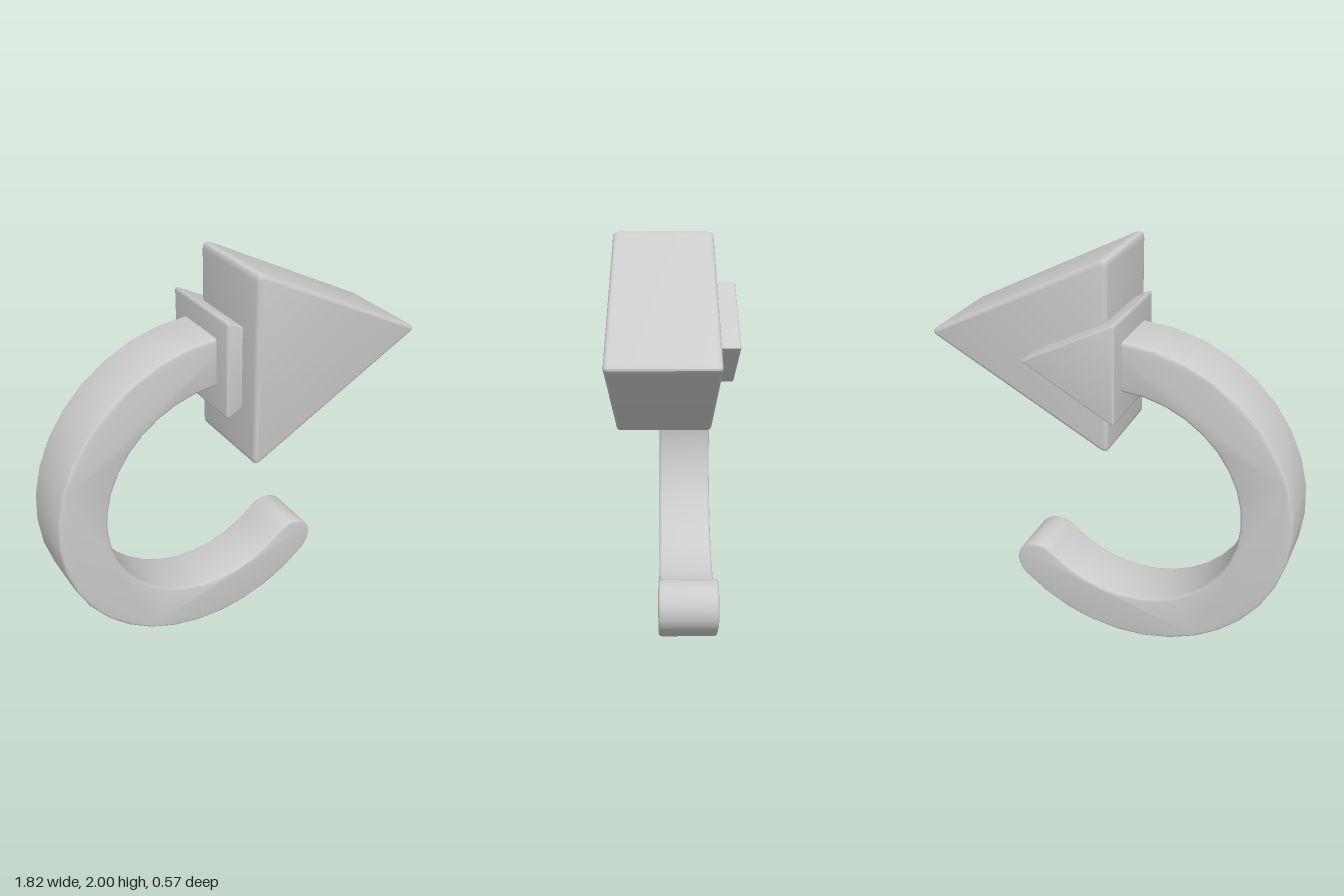
import * as THREE from 'three';
import { toCreasedNormals } from 'three/addons/utils/BufferGeometryUtils.js';

const material = new THREE.MeshStandardMaterial({ color: 0xcccccc });

// Extrude a shape between two z planes with softly rounded edges that stay inside the outline
function slab(name, shape, zMin, zMax, bevel, curveSegments) {
  const geometry = new THREE.ExtrudeGeometry(shape, {
    depth: zMax - zMin - 2 * bevel,
    bevelThickness: bevel, bevelSize: bevel, bevelOffset: -bevel, bevelSegments: 3,
    curveSegments,
  });
  geometry.translate(0, 0, zMin + bevel);
  const mesh = new THREE.Mesh(toCreasedNormals(geometry, 0.6), material);
  mesh.name = name;
  return mesh;
}

// Triangle pointing to +x, each corner cut back by `r` and rounded
function triangle(x0, x1, yMid, halfHeight, r) {
  const corners = [[x0, yMid - halfHeight], [x1, yMid], [x0, yMid + halfHeight]]
    .map(([x, y]) => new THREE.Vector2(x, y));
  const shape = new THREE.Shape();
  corners.forEach((c, i) => {
    const toward = (other) => other.clone().sub(c).setLength(r).add(c);
    const a = toward(corners[(i + 2) % 3]);
    const b = toward(corners[(i + 1) % 3]);
    if (i === 0) shape.moveTo(a.x, a.y);
    else shape.lineTo(a.x, a.y);
    shape.quadraticCurveTo(c.x, c.y, b.x, b.y);
  });
  shape.closePath();
  return shape;
}

// Round band: short straight neck, long arc, round tip
function hookShape() {
  const cx = -0.085, cy = 0.827, outer = 0.825, inner = 0.582;
  const start = Math.PI / 2, end = THREE.MathUtils.degToRad(312.7);
  const mid = (outer + inner) / 2, tip = (outer - inner) / 2;
  const shape = new THREE.Shape();
  shape.moveTo(0, cy + inner);
  shape.lineTo(0, cy + outer - 0.005);
  shape.absarc(cx, cy, outer, start, end, false);
  shape.absarc(cx + mid * Math.cos(end), cy + mid * Math.sin(end), tip, end, end + Math.PI, false);
  shape.absarc(cx, cy, inner, end, start, true);
  shape.closePath();
  return shape;
}

export function createModel() {
  const group = new THREE.Group();
  group.name = 'curvedArrow';
  group.add(
    slab('arrowHead', triangle(0, 0.93, 1.53, 0.485, 0.05), -0.175, 0.285, 0.02, 5),
    slab('arrowHeadCollar', triangle(-0.08, 0.38, 1.52, 0.246, 0.02), -0.285, 0.172, 0.008, 4),
    slab('curvedShaft', hookShape(), -0.197, 0.083, 0.015, 11),
  );
  return group;
}
